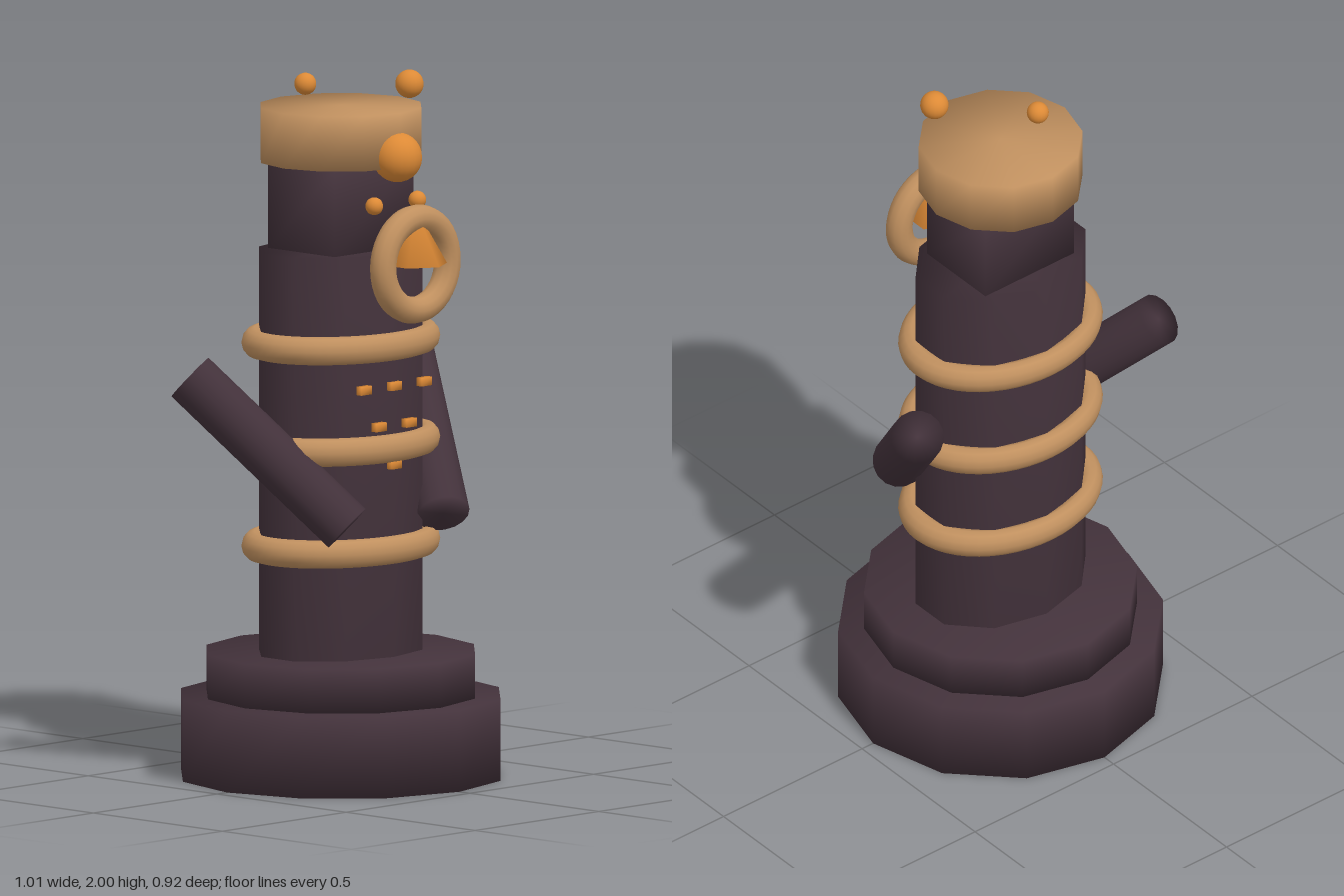
import * as THREE from 'three';
import { mergeVertices } from 'three/addons/utils/BufferGeometryUtils.js';

const mat = (name, color) => {
  const m = new THREE.MeshStandardMaterial({ color });
  m.name = name;
  return m;
};

// Averages the normals over all edges, caps included
function soften(geometry) {
  geometry.deleteAttribute('normal');
  geometry.deleteAttribute('uv');
  const g = mergeVertices(geometry, 1e-4);
  g.computeVertexNormals();
  return g;
}

export function createModel() {
  const model = new THREE.Group();
  model.name = 'totem';
  const dark = mat('dark plum', 0x43323b);
  const tan = mat('tan', 0xc0905f);
  const orange = mat('orange', 0xdd8a36);

  function add(name, geometry, material, x, y, z) {
    const mesh = new THREE.Mesh(geometry, material);
    mesh.name = name;
    mesh.position.set(x, y, z);
    model.add(mesh);
    return mesh;
  }
  const drum = (r, h, sides) => soften(new THREE.CylinderGeometry(r, r, h, sides));
  const ball = (r) => new THREE.SphereGeometry(r, 20, 14);

  // Stepped base
  add('baseLower', drum(0.46, 0.23, 12), dark, 0, 0.115, 0);
  add('baseUpper', drum(0.387, 0.125, 12), dark, 0, 0.2925, 0);

  // Oval body, square neck and head drum
  add('body', drum(0.268, 1.14, 10).scale(1, 1, 0.765), dark, 0, 0.925, 0);
  add('neck', soften(new THREE.BoxGeometry(0.32, 0.25, 0.258)), dark, 0, 1.618, 0);
  add('head', drum(0.232, 0.155, 12), tan, 0, 1.8175, 0);

  // Oval bands round the body
  for (const y of [0.66, 0.948, 1.235]) {
    const band = new THREE.TorusGeometry(0.272, 0.04, 12, 48).rotateX(Math.PI / 2).scale(1, 1, 0.78);
    add('bodyBand', band, tan, 0, y, 0);
  }

  // Arms reach up, out and back
  const up = new THREE.Vector3(0, 1, 0);
  for (const s of [1, -1]) {
    const arm = add(s > 0 ? 'leftArm' : 'rightArm', drum(0.075, 0.61, 16), dark, s * 0.315, 0.948, 0.022);
    arm.quaternion.setFromUnitVectors(up, new THREE.Vector3(s * 0.397, 0.68, -0.618).normalize());
    add('eye', ball(0.025), orange, s * 0.087, 1.64, 0.213);
  }

  // Face: brow ball, cone and the ring around it
  add('browBall', ball(0.07), orange, 0, 1.77, 0.219);
  add('cone', soften(new THREE.ConeGeometry(0.092, 0.16, 6)), orange, 0, 1.555, 0.289);
  add('faceRing', new THREE.TorusGeometry(0.13, 0.038, 12, 40), tan, 0, 1.475, 0.289);

  // Rows of studs on the chest
  for (const [x, y] of [[-0.122, 1.122], [0, 1.122], [0.122, 1.122], [-0.061, 1.012], [0.061, 1.012], [0, 0.9]]) {
    add('stud', soften(new THREE.BoxGeometry(0.042, 0.024, 0.02)), orange, x, y, 0.207);
  }

  // Balls hovering over the head
  add('frontOrb', ball(0.04), orange, 0.1, 1.962, 0.17);
  add('backOrb', ball(0.031), orange, -0.102, 1.962, -0.04);
  return model;
}
